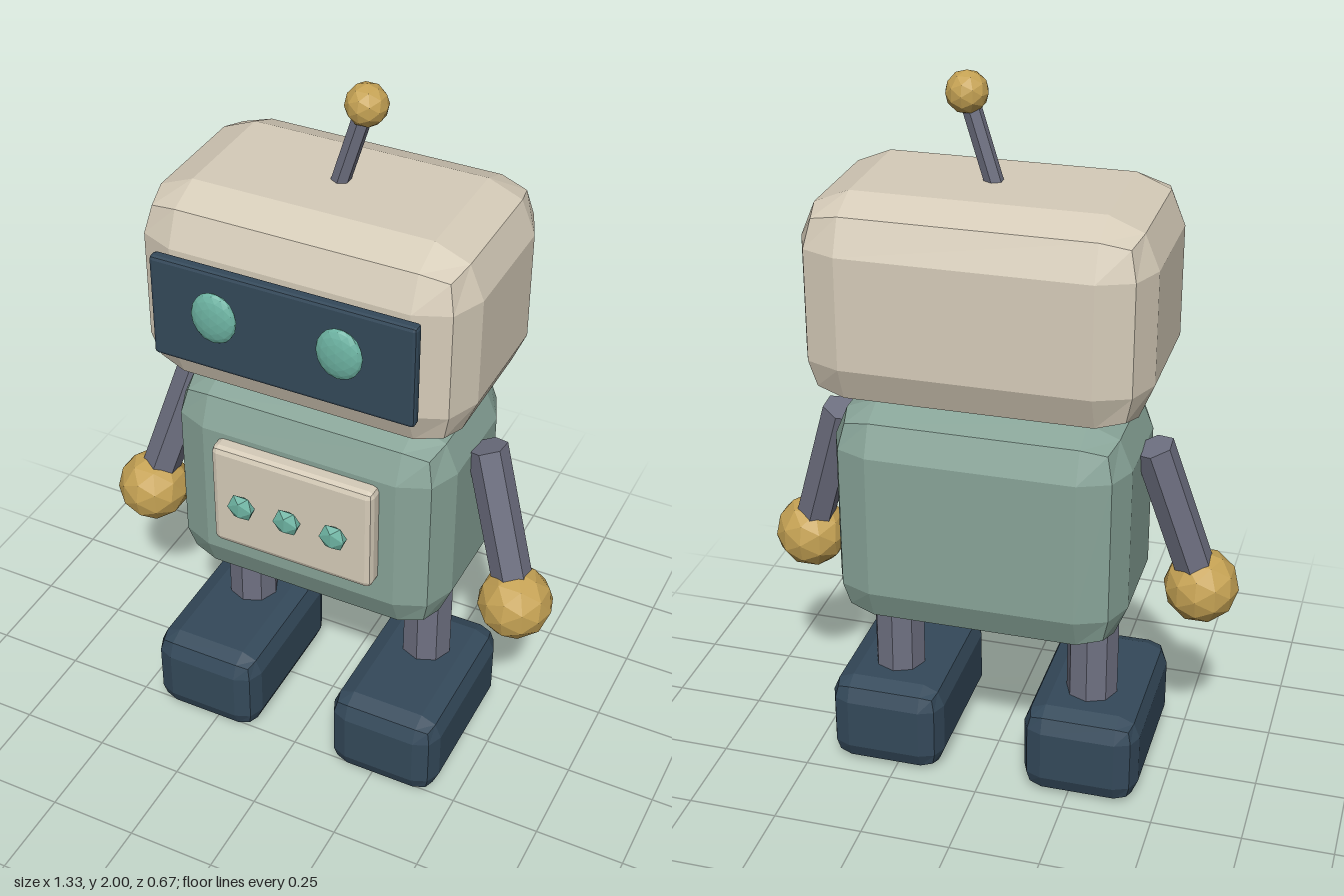
import * as THREE from 'three';
import { RoundedBoxGeometry } from 'three/addons/geometries/RoundedBoxGeometry.js';

const paint = (color) => new THREE.MeshStandardMaterial({ color, flatShading: true });

export function createModel() {
  const robot = new THREE.Group();
  robot.name = 'robot';

  const cream = paint(0xd6ccb9);
  const green = paint(0x88a498);
  const steel = paint(0x6f7182);
  const navy = paint(0x34495a);
  const gold = paint(0xc5a254);
  const teal = paint(0x6db3a2);

  const add = (name, geometry, material, x = 0, y = 0, z = 0) => {
    const mesh = new THREE.Mesh(geometry, material);
    mesh.name = name;
    mesh.position.set(x, y, z);
    robot.add(mesh);
    return mesh;
  };

  // Box with one chamfer step per edge, given by its min and max corners
  const block = (name, material, [x0, y0, z0], [x1, y1, z1], radius) =>
    add(name, new RoundedBoxGeometry(x1 - x0, y1 - y0, z1 - z0, 1, radius), material,
      (x0 + x1) / 2, (y0 + y1) / 2, (z0 + z1) / 2);

  // Straight faceted rod between two points
  const rod = (name, material, from, to, radius, sides) => {
    const a = new THREE.Vector3(...from);
    const b = new THREE.Vector3(...to);
    const dir = b.clone().sub(a);
    const mesh = add(name, new THREE.CylinderGeometry(radius, radius, dir.length(), sides), material);
    mesh.position.copy(a).lerp(b, 0.5);
    mesh.quaternion.setFromUnitVectors(new THREE.Vector3(0, 1, 0), dir.normalize());
    return mesh;
  };

  // Faceted ball, optionally squashed
  const ball = (name, material, [x, y, z], [rx, ry, rz], detail) =>
    add(name, new THREE.IcosahedronGeometry(1, detail), material, x, y, z).scale.set(rx, ry, rz);

  // Head and visor
  block('head', cream, [-0.455, 1.165, -0.335], [0.455, 1.725, 0.25], 0.13);
  block('visor', navy, [-0.36, 1.3, 0.258], [0.36, 1.59, 0.292], 0.01);

  // Torso and chest panel
  block('torso', green, [-0.4, 0.505, -0.29], [0.4, 1.15, 0.21], 0.12);
  block('chestPanel', cream, [-0.235, 0.695, 0.19], [0.235, 1.015, 0.255], 0.018);
  for (const x of [-0.135, 0, 0.135]) {
    ball('chestButton', teal, [x, 0.857, 0.275], [0.042, 0.042, 0.02], 0);
  }

  // Antenna
  rod('antennaRod', steel, [-0.005, 1.7, -0.04], [0.07, 1.945, -0.04], 0.025, 6);
  ball('antennaTip', gold, [0.07, 1.945, -0.04], [0.055, 0.055, 0.055], 1);

  // Paired parts
  for (const [side, s] of [['left', 1], ['right', -1]]) {
    ball(`${side}Eye`, teal, [s * 0.17, 1.475, 0.312], [0.062, 0.072, 0.022], 2);
    rod(`${side}Arm`, steel, [s * 0.56, 0.61, 0.025], [s * 0.428, 1.04, -0.037], 0.055, 6);
    ball(`${side}Hand`, gold, [s * 0.56, 0.605, 0.03], [0.103, 0.103, 0.103], 1);
    rod(`${side}Leg`, steel, [s * 0.28, 0.2, -0.04], [s * 0.28, 0.6, -0.04], 0.072, 8);
    const foot = block(`${side}Foot`, navy, [0.117, 0, -0.215], [0.443, 0.265, 0.285], 0.06);
    foot.position.x *= s;
  }

  return robot;
}
